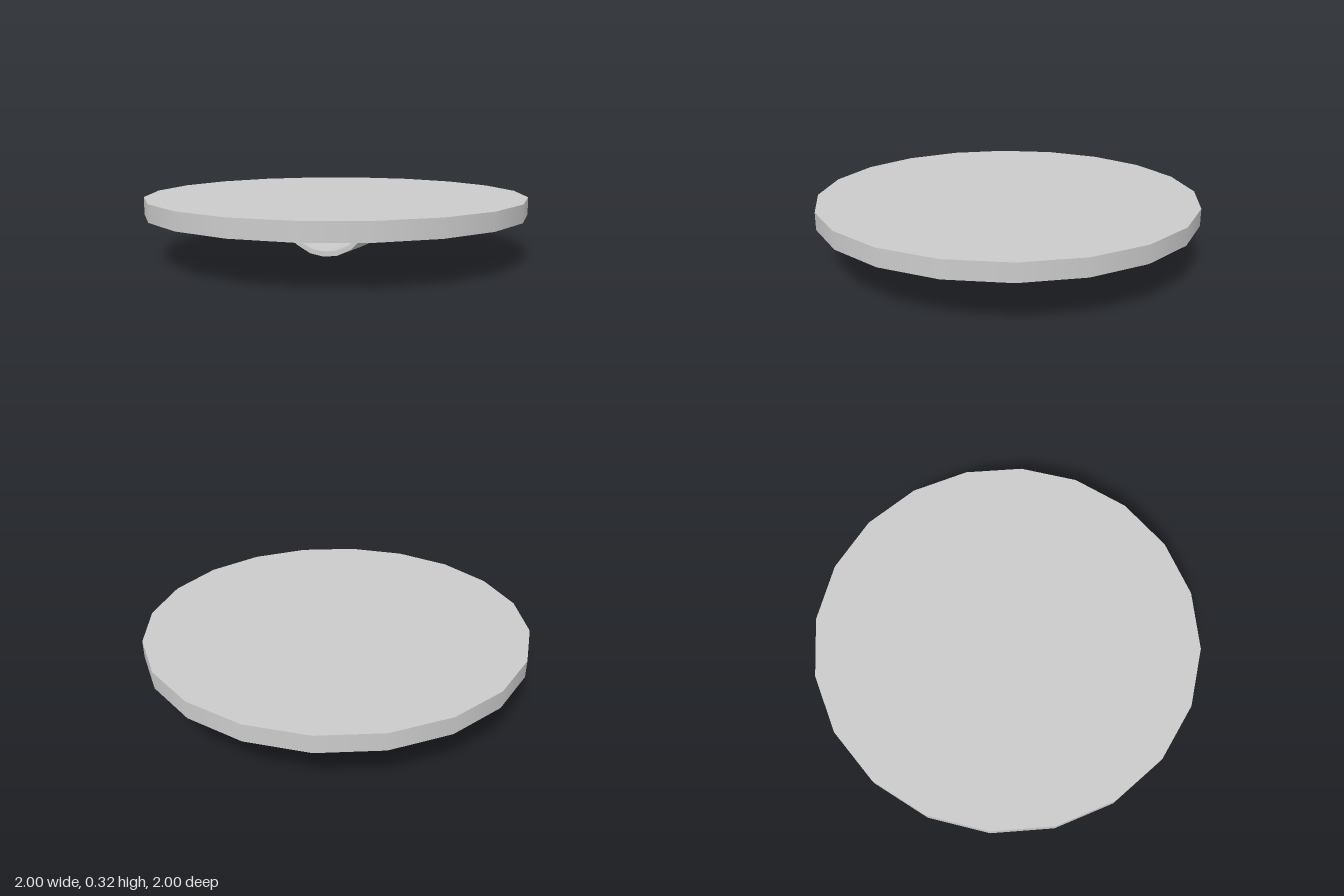
import * as THREE from 'three';
import { toCreasedNormals } from 'three/addons/utils/BufferGeometryUtils.js';

const material = new THREE.MeshStandardMaterial({ color: 0xcccccc });

// Half of the strap, from the middle outwards: x below, y below, x above, y above, half width
const halfStrap = [
  [0, 0, 0, 0.027, 0.143],
  [0.078, 0.01, 0.07, 0.036, 0.143],
  [0.16, 0.05, 0.145, 0.07, 0.143],
  [0.225, 0.113, 0.21, 0.13, 0.143],
  [0.295, 0.186, 0.28, 0.203, 0.143],
  [0.34, 0.21, 0.33, 0.227, 0.143],
  [0.375, 0.213, 0.37, 0.228, 0.143],
  [0.645, 0.213, 0.645, 0.228, 0.143],
  [0.685, 0.213, 0.685, 0.228, 0.132],
  [0.717, 0.213, 0.717, 0.228, 0.105],
  [0.732, 0.213, 0.732, 0.228, 0.065],
];

function strapGeometry() {
  const mirrored = halfStrap.slice(1).reverse().map(([a, b, c, d, w]) => [-a, b, -c, d, w]);
  const stations = [...mirrored, ...halfStrap];
  const positions = [];
  const index = [];
  for (const [xb, yb, xt, yt, w] of stations) {
    positions.push(xb, yb, w, xb, yb, -w, xt, yt, -w, xt, yt, w);
  }
  for (let i = 0; i < stations.length - 1; i++) {
    for (let k = 0; k < 4; k++) {
      const a = i * 4 + k, b = i * 4 + (k + 1) % 4;
      index.push(a, b, b + 4, a, b + 4, a + 4);
    }
  }
  // Close both ends
  const e = (stations.length - 1) * 4;
  index.push(0, 2, 1, 0, 3, 2, e, e + 1, e + 2, e, e + 2, e + 3);
  const geometry = new THREE.BufferGeometry();
  geometry.setAttribute('position', new THREE.Float32BufferAttribute(positions, 3));
  geometry.setIndex(index);
  return toCreasedNormals(geometry, 0.9);
}

export function createModel() {
  const model = new THREE.Group();
  model.name = 'roundShield';

  const add = (name, geometry, x = 0, y = 0, z = 0) => {
    const mesh = new THREE.Mesh(geometry, material);
    mesh.name = name;
    mesh.position.set(x, y, z);
    model.add(mesh);
    return mesh;
  };

  // Twenty-sided disc
  add('disc', new THREE.CylinderGeometry(1, 1, 0.09, 20), 0, 0.272, 0);

  // Bent strap handle under the disc
  add('handleStrap', strapGeometry());

  // Two domed rivets at each end of the strap
  const dome = new THREE.SphereGeometry(0.032, 12, 5, 0, Math.PI * 2, Math.PI / 2, Math.PI / 2);
  dome.scale(1, 0.75, 1);
  for (const x of [-0.67, 0.675]) {
    for (const z of [-0.052, 0.052]) add('rivet', dome, x, 0.214, z);
  }
  return model;
}
